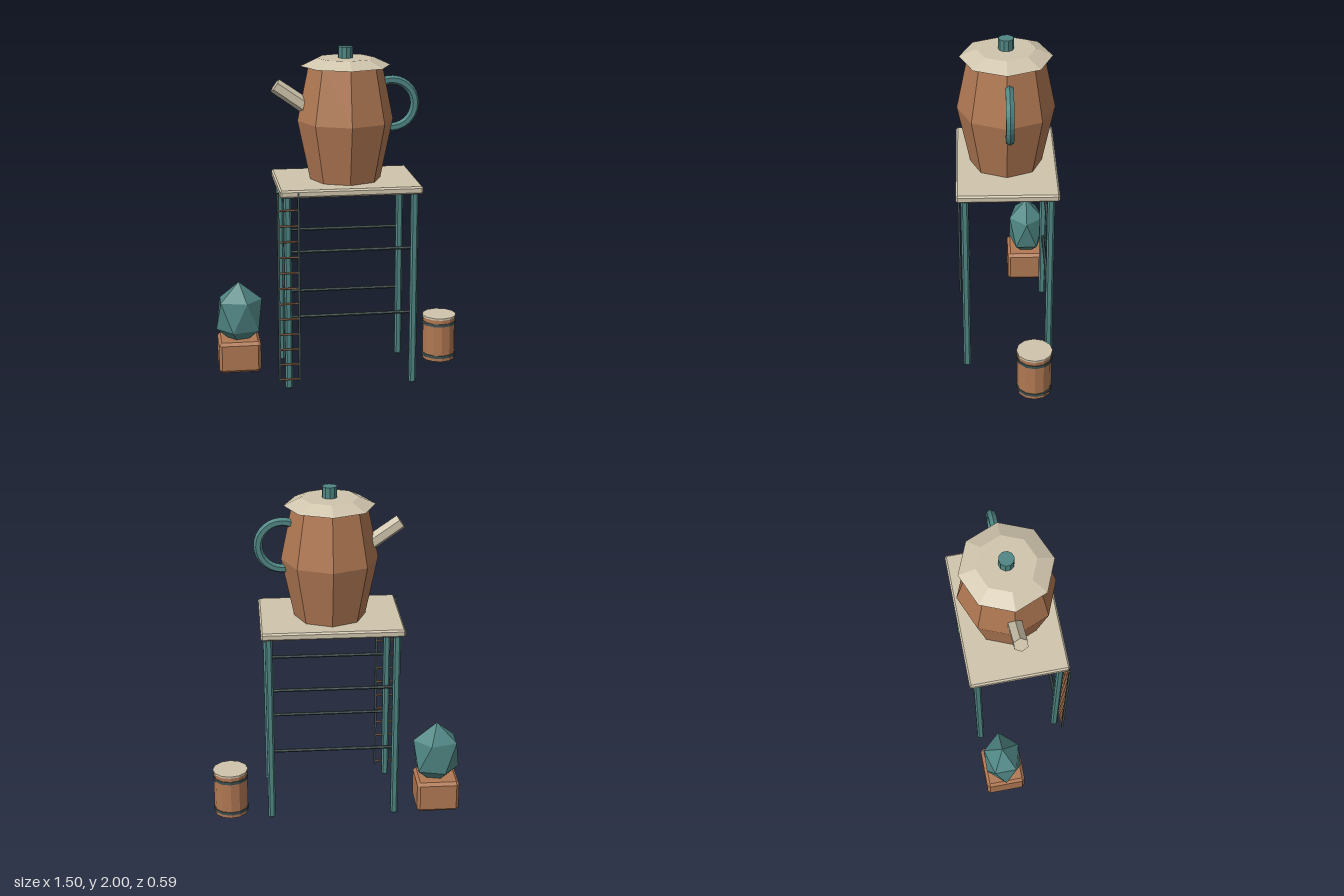
import * as THREE from 'three';
import { ConvexGeometry } from 'three/addons/geometries/ConvexGeometry.js';

const mat = (name, color) => {
  const m = new THREE.MeshStandardMaterial({ color, flatShading: true });
  m.name = name;
  return m;
};

// Box with chamfered edges: each face is inset by c
function chamferBox(w, h, d, c) {
  const pts = [];
  const s = [-1, 1];
  for (const x of s) for (const y of s) for (const z of s) {
    const [X, Y, Z] = [w / 2, h / 2, d / 2];
    pts.push(new THREE.Vector3(x * X, y * (Y - c), z * (Z - c)));
    pts.push(new THREE.Vector3(x * (X - c), y * Y, z * (Z - c)));
    pts.push(new THREE.Vector3(x * (X - c), y * (Y - c), z * Z));
  }
  return new ConvexGeometry(pts);
}

// Faceted solid of revolution from [radius, y] pairs, bottom to top
const turned = (profile, sides) =>
  new THREE.LatheGeometry(profile.map(([r, y]) => new THREE.Vector2(r, y)), sides);

export function createModel() {
  const wood = mat('wood brown', 0xb07853);
  const cream = mat('cream', 0xd0c5ad);
  const teal = mat('teal', 0x4f8684);
  const iron = mat('dark iron', 0x3f504f);

  const model = new THREE.Group();
  model.name = 'teapotTower';
  const group = (name, x = 0, y = 0, z = 0) => {
    const g = new THREE.Group();
    g.name = name;
    g.position.set(x, y, z);
    model.add(g);
    return g;
  };
  const add = (parent, name, geo, material, x = 0, y = 0, z = 0) => {
    const mesh = new THREE.Mesh(geo, material);
    mesh.name = name;
    mesh.position.set(x, y, z);
    parent.add(mesh);
    return mesh;
  };

  // Table with four legs and braces front and back
  const table = group('table', 0.027);
  add(table, 'tableTop', chamferBox(0.832, 0.045, 0.588, 0.01), cream, 0, 1.198, 0);
  const legGeo = chamferBox(0.043, 1.178, 0.043, 0.01);
  const braceGeo = new THREE.CylinderGeometry(0.01, 0.01, 0.74, 6).rotateZ(Math.PI / 2);
  for (const z of [-0.245, 0.245]) {
    for (const x of [-0.371, 0.371]) add(table, 'leg', legGeo, teal, x, 0.593, z);
    for (const y of [0.45, 0.845]) add(table, 'brace', braceGeo, iron, 0, y, z);
  }

  // Eight-sided pot with lid, spout and handle
  const pot = group('pot', 0.027);
  add(pot, 'potBody',
    turned([[0, 1.22], [0.21, 1.22], [0.283, 1.57], [0.216, 1.9], [0, 1.9]], 8), wood);
  add(pot, 'lid', turned([[0, 1.89], [0.265, 1.89], [0.168, 1.935], [0, 1.935]], 8), cream);
  add(pot, 'knob', new THREE.CylinderGeometry(0.044, 0.044, 0.07, 10), teal, 0, 1.965, 0);
  const spoutGeo = new THREE.CylinderGeometry(0.044, 0.046, 0.3, 6, 1, false, Math.PI / 2)
    .translate(0, -0.15, 0);
  add(pot, 'spout', spoutGeo, cream, -0.412, 1.78, 0).rotation.z = 0.96;
  const arc = 3.9;
  const handleGeo = new THREE.TorusGeometry(0.141, 0.026, 6, 18, arc).rotateZ(-arc / 2);
  add(pot, 'handle', handleGeo, teal, 0.274, 1.657, -0.012);

  // Ladder at the front left corner of the table
  const ladder = group('ladder', -0.343, 0, 0.288);
  for (const x of [-0.059, 0.059])
    add(ladder, 'ladderRail', new THREE.BoxGeometry(0.013, 1.15, 0.013), iron, x, 0.633, 0);
  const rungGeo = new THREE.CylinderGeometry(0.006, 0.006, 0.118, 6).rotateZ(Math.PI / 2);
  for (let i = 0; i < 12; i++) add(ladder, 'rung', rungGeo, wood, 0, 0.076 + i * 0.0935, 0);

  // Barrel with iron hoops
  const barrel = group('barrel', 0.643, 0, -0.149);
  add(barrel, 'barrelBody', new THREE.CylinderGeometry(0.102, 0.102, 0.278, 12), wood, 0, 0.144, 0);
  add(barrel, 'barrelLid', new THREE.CylinderGeometry(0.106, 0.106, 0.012, 12), cream, 0, 0.284, 0);
  for (const y of [0.035, 0.243])
    add(barrel, 'hoop', new THREE.CylinderGeometry(0.107, 0.107, 0.018, 12), iron, 0, y, 0);

  // Planter crate with a faceted bush
  const planter = group('planter', -0.614, 0, -0.149);
  add(planter, 'crate', chamferBox(0.257, 0.194, 0.243, 0.018), wood, 0, 0.102, 0);
  const bush = [new THREE.Vector3(0, 0.207, 0), new THREE.Vector3(0, -0.207, 0)];
  for (let i = 0; i < 5; i++) {
    const a = (i / 5) * Math.PI * 2;
    const [x, z] = [0.141 * Math.cos(a), 0.114 * Math.sin(a)];
    bush.push(new THREE.Vector3(x, 0.0926, z), new THREE.Vector3(-x, -0.0926, -z));
  }
  add(planter, 'bush', new ConvexGeometry(bush), teal, 0.004, 0.347, 0);

  return model;
}
